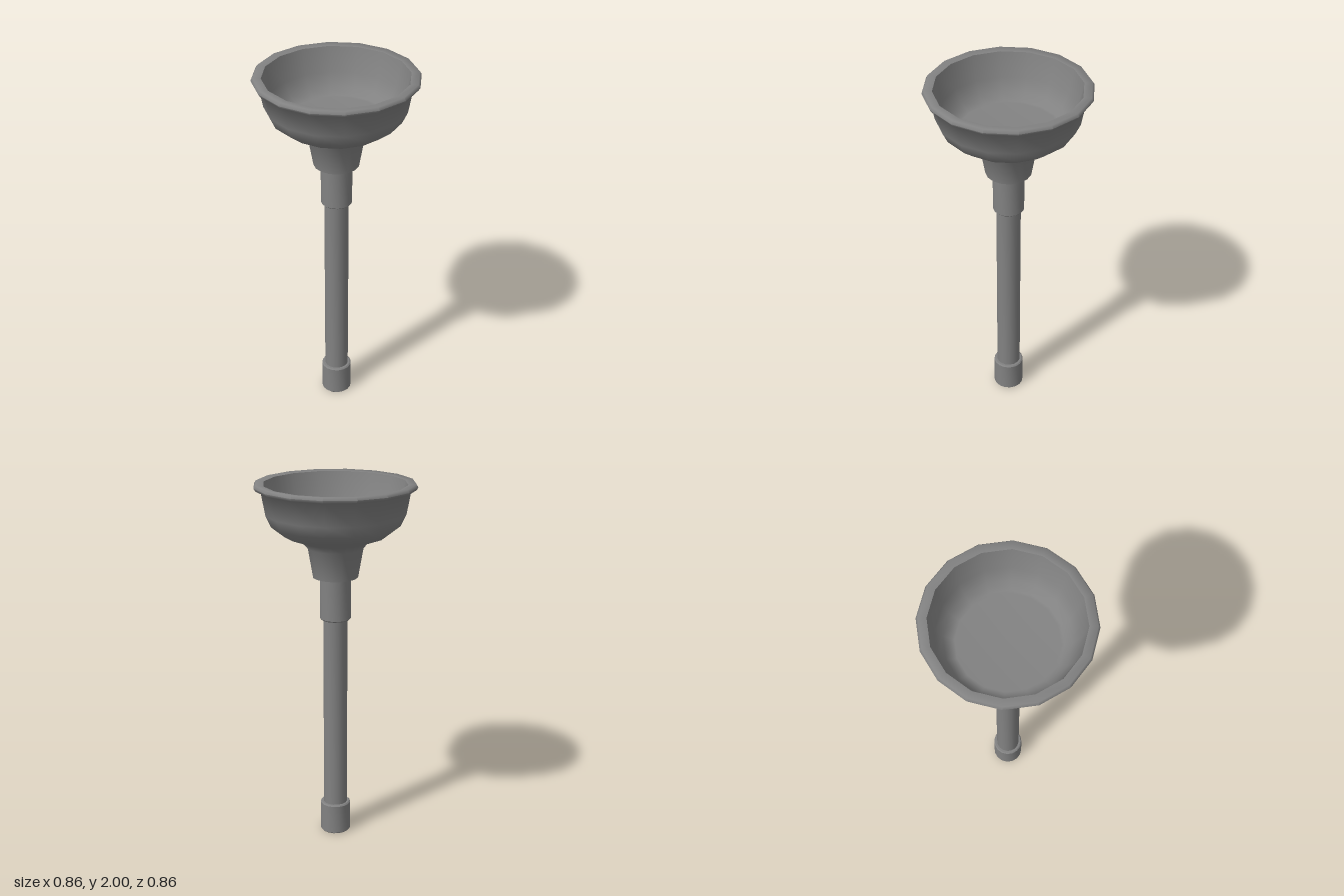
import * as THREE from 'three';
import { toCreasedNormals } from 'three/addons/utils/BufferGeometryUtils.js';

const SIDES = 16;

export function createModel() {
  const group = new THREE.Group();
  const material = new THREE.MeshStandardMaterial({ color: 0x828282 });

  // Turned part: profile of [radius, height], outside from bottom to top
  function turned(name, profile, crease) {
    const points = profile.map(([r, y]) => new THREE.Vector2(r, y));
    const geometry = toCreasedNormals(new THREE.LatheGeometry(points, SIDES), crease);
    const mesh = new THREE.Mesh(geometry, material);
    mesh.name = name;
    group.add(mesh);
  }

  // Lightly bevelled collar around the rod
  function collar(name, bottom, top, radius) {
    const b = 0.006;
    turned(name, [
      [0, bottom], [radius - b, bottom], [radius, bottom + b],
      [radius, top - b], [radius - b, top], [0, top],
    ], 0.7);
  }

  // Rubber cup: neck, bowl, lip, then the hollow inside with a flat floor
  turned('cup', [
    [0, 1.495], [0.122, 1.495], [0.15, 1.655], [0.18, 1.69], [0.275, 1.725],
    [0.345, 1.78], [0.373, 1.84], [0.395, 1.96],
    [0.423, 1.97], [0.432, 1.985], [0.422, 2],
    [0.38, 1.995], [0.35, 1.86], [0.315, 1.79], [0.275, 1.757], [0.26, 1.755], [0, 1.755],
  ], 1.15);

  // Handle
  collar('upperSleeve', 1.26, 1.52, 0.084);
  turned('rod', [[0, 0.1], [0.066, 0.1], [0.066, 1.3], [0, 1.3]], 0.7);
  collar('endCap', 0, 0.175, 0.084);

  return group;
}
